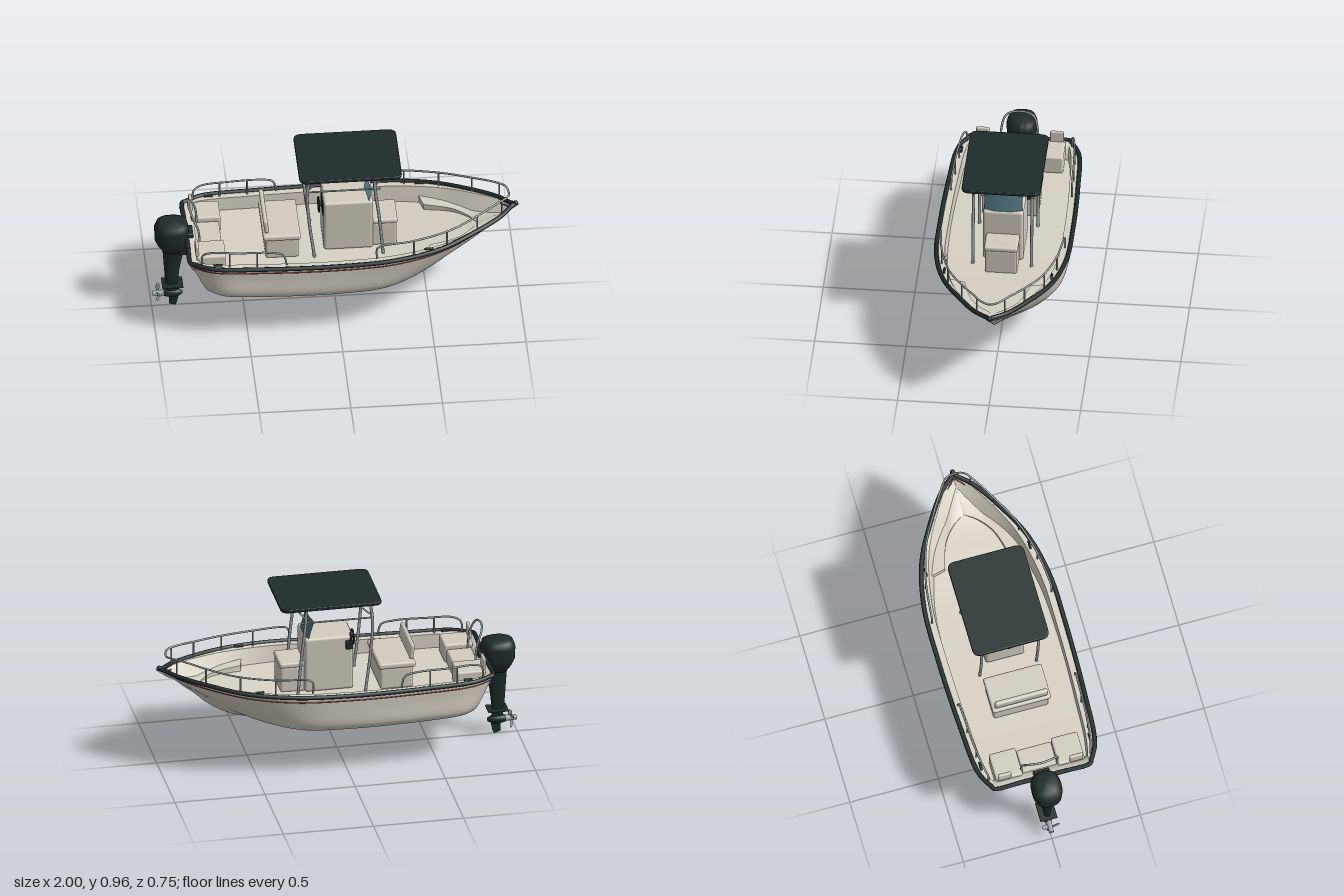
import * as THREE from 'three';
import { RoundedBoxGeometry } from 'three/addons/geometries/RoundedBoxGeometry.js';

const V = (x, y, z) => new THREE.Vector3(x, y, z);
const material = (name, color, side = THREE.FrontSide) => {
  const m = new THREE.MeshStandardMaterial({ color, side });
  m.name = name;
  return m;
};

export function createModel() {
  const boat = new THREE.Group();
  boat.name = 'boat';
  const cream = material('cream gelcoat', 0xd8d2c5, THREE.DoubleSide);
  const seatMat = material('cream vinyl', 0xd3cdc0);
  const dark = material('dark green black', 0x1f2b2c);
  const grey = material('canopy lining', 0x6a7272);
  const metal = material('brushed metal', 0x9ca6a8);
  const red = material('red stripe', 0x8a1c22);
  const glass = material('tinted screen', 0x4f727c, THREE.DoubleSide);

  const add = (name, geo, mat, x = 0, y = 0, z = 0, parent = boat) => {
    const m = new THREE.Mesh(geo, mat);
    m.name = name;
    m.position.set(x, y, z);
    parent.add(m);
    return m;
  };
  // Rounded box given by its limits
  const block = (name, mat, x0, x1, y0, y1, z0, z1, r = 0.012) =>
    add(name, new RoundedBoxGeometry(x1 - x0, y1 - y0, z1 - z0, 3, r), mat, (x0 + x1) / 2, (y0 + y1) / 2, (z0 + z1) / 2);
  const tube = (name, pts, r, mat = metal, closed = false) =>
    add(name, new THREE.TubeGeometry(new THREE.CatmullRomCurve3(pts, closed, 'centripetal'), Math.max(6, pts.length * 5), r, 8, closed), mat);
  const rod = (name, a, b, r, mat = metal) => tube(name, [a, b], r, mat);
  const mirror = p => V(p.x, p.y, -p.z);
  // Surface through rows of points
  const grid = (rows, flip = false) => {
    const n = rows[0].length, index = [];
    for (let i = 0; i < rows.length - 1; i++) for (let j = 0; j < n - 1; j++) {
      const a = i * n + j, b = a + 1, c = a + n, d = c + 1;
      index.push(...(flip ? [a, b, c, b, d, c] : [a, c, b, b, c, d]));
    }
    const g = new THREE.BufferGeometry().setFromPoints(rows.flat());
    g.setIndex(index);
    g.computeVertexNormals();
    return g;
  };
  const bothSides = (name, rows, mat) => {
    add(name + 'Left', grid(rows), mat);
    add(name + 'Right', grid(rows.map(r => r.map(mirror)), true), mat);
  };

  // Lengthwise hull lines, stern to stem
  const line = pts => new THREE.CatmullRomCurve3(pts.map(p => V(...p)), false, 'centripetal');
  const sheer = line([[-.81, .485, .27], [-.7, .483, .325], [-.4, .48, .35], [0, .482, .36], [.3, .495, .352], [.55, .512, .295], [.75, .535, .19], [.9, .553, .085], [.975, .565, 0]]);
  const middle = line([[-.775, .4, .262], [-.68, .4, .32], [-.4, .395, .345], [0, .395, .355], [.3, .4, .335], [.53, .42, .262], [.71, .44, .15], [.85, .48, .055], [.925, .515, 0]]);
  const bilge = line([[-.735, .31, .255], [-.65, .31, .32], [-.4, .305, .343], [0, .3, .347], [.27, .31, .32], [.47, .335, .24], [.645, .375, .13], [.77, .42, .045], [.845, .445, 0]]);
  const chine = line([[-.715, .27, .24], [-.63, .275, .305], [-.4, .27, .325], [0, .265, .325], [.25, .27, .3], [.45, .3, .22], [.62, .345, .115], [.74, .385, .035], [.8, .41, 0]]);
  const keel = line([[-.7, .22, 0], [-.6, .22, 0], [-.4, .22, 0], [0, .22, 0], [.25, .22, 0], [.42, .223, 0], [.58, .258, 0], [.71, .33, 0], [.8, .41, 0]]);
  const N = 64;
  const ts = (from = 0, n = N) => Array.from({ length: n + 1 }, (_, i) => from + (1 - from) * i / n);
  const section = t => new THREE.CatmullRomCurve3([sheer, middle, bilge, chine].map(c => c.getPoint(t)), false, 'centripetal');
  const plan = (c, t, d, y) => {
    const p = c.getPoint(t), g = c.getTangent(t), l = Math.hypot(g.x, g.z);
    return V(p.x - g.z / l * d, y === undefined ? p.y : Math.max(y, p.y + .005), Math.max(0, p.z - g.x / l * d));
  };
  const at = (x, d = 0) => {
    let lo = 0, hi = 1;
    for (let i = 0; i < 30; i++) { const m = (lo + hi) / 2; if (sheer.getPoint(m).x < x) lo = m; else hi = m; }
    return plan(sheer, lo, d);
  };

  // Hull shell
  bothSides('topside', ts().map(t => section(t).getPoints(12)), cream);
  bothSides('bottom', ts().map(t => [0, .25, .5, .75, 1].map(k => chine.getPoint(t).lerp(keel.getPoint(t), k))), cream);
  const end = [...section(0).getPoints(12), keel.getPoint(0)];
  add('transom', grid([end, end.map(mirror)], true), cream);

  // Gunwale, inner walls and floor
  bothSides('gunwale', ts().map(t => [plan(sheer, t, .045), sheer.getPoint(t)]), cream);
  bothSides('innerWall', ts().map(t => [plan(middle, t, .045, .4), plan(sheer, t, .045)]), cream);
  const floorEdge = ts().map(t => plan(middle, t, .045, .4));
  add('floor', grid(floorEdge.map(p => [mirror(p), p])), cream);
  add('transomCap', grid([V(-.81, .485, 0), V(-.76, .485, 0), V(-.74, .4, 0)].map(p => [V(p.x, p.y, -.27), V(p.x, p.y, .27)])), cream);

  // Bow bench wrapping round the front of the cockpit
  const benchInner = new THREE.CatmullRomCurve3([V(.5, .455, .18), V(.65, .455, .13), V(.73, .455, .065), V(.775, .455, 0)]);
  const benchRows = ts(.59, 28).map((t, i) => {
    const a = plan(middle, t, .02, .455), b = benchInner.getPoint(i / 28);
    return [V(b.x, .4, b.z), b, b.clone(), a];
  });
  bothSides('bowBench', [benchRows[0].map(p => V(p.x, .4, p.z)), benchRows[0], ...benchRows], cream);

  // Rub rail all round, bow light and red stripe
  const rim = ts(0, 48).map(t => plan(sheer, t, -.003)).slice(0, -1);
  tube('rubRail', [...rim, V(.98, .566, 0), ...rim.map(mirror).reverse(), V(-.812, .485, -.1), V(-.812, .485, .1)], .0125, dark, true);
  add('bowFitting', new THREE.SphereGeometry(.014, 16, 12), dark, .986, .572, 0);
  const stripe = ts(0, 40).map(t => {
    const p = section(t).getPoint(.12);
    return V(p.x, p.y, p.z + .0005);
  });
  tube('stripeLeft', stripe, .0035, red);
  tube('stripeRight', stripe.map(mirror), .0035, red);

  // Bow rail with stanchions
  const up = (x, y, d = .022) => { const p = at(x, d); p.y = y; return p; };
  const railSide = [up(.2, .505), up(.2, .57), up(.22, .585), up(.4, .592), up(.6, .606), up(.75, .628), up(.87, .65), up(.92, .652)];
  tube('bowRail', [...railSide, V(.95, .642, 0), ...railSide.map(mirror).reverse()], .0055);
  for (const s of [1, -1]) {
    const side = p => V(p.x, p.y, p.z * s);
    for (const [x, y] of [[.4, .592], [.58, .604], [.75, .628], [.89, .651]])
      rod('stanchion', side(at(x, .022)), side(up(x, y)), .0045);
    // Low stern rails
    tube('sternRail', [[-.74, .49], [-.735, .55], [-.7, .572], [-.55, .574], [-.38, .572], [-.31, .555], [-.29, .49]].map(([x, y]) => side(up(x, y, .025))), .0055);
    for (const x of [-.6, -.45]) rod('sternStanchion', side(at(x, .025)), side(up(x, .573, .025)), .0045);
    // Cleats
    for (const x of [-.66, .48]) {
      const p = side(at(x, .025));
      block('cleat', dark, p.x - .025, p.x + .025, p.y + .004, p.y + .016, p.z - .006, p.z + .006, .005);
    }
    // Corner seats with small backs
    block('sternSeat', seatMat, -.775, -.615, .4, .508, s > 0 ? .1 : -.25, s > 0 ? .25 : -.1);
    block('sternSeatBack', seatMat, -.78, -.762, .5, .572, s > 0 ? .165 : -.24, s > 0 ? .24 : -.165, .008);
  }
  block('sternMiddleSeat', seatMat, -.775, -.625, .4, .485, -.098, .098);
  tube('towArch', [V(-.745, .48, -.1), V(-.755, .58, -.1), V(-.785, .655, -.075), V(-.8, .672, 0), V(-.785, .655, .075), V(-.755, .58, .1), V(-.745, .48, .1)], .006);

  // Helm seat
  block('helmSeatBase', seatMat, -.39, -.21, .4, .525, -.155, .155);
  block('helmSeatCushion', seatMat, -.405, -.2, .522, .556, -.165, .165);
  block('helmSeatBack', seatMat, -.4, -.375, .565, .65, -.15, .15).rotation.z = .12;
  for (const z of [-.11, .11]) rod('backSupport', V(-.378, .5, z), V(-.385, .6, z), .006);

  // Console, front seat and curved screen
  block('console', seatMat, -.07, .2, .4, .72, -.11, .11, .016);
  block('consoleFrontSeat', seatMat, .19, .33, .4, .55, -.088, .088);
  block('consoleFrontCushion', seatMat, .195, .335, .545, .576, -.092, .092);
  const screen = [0, .5, 1].map(v => Array.from({ length: 13 }, (_, i) => {
    const u = i / 6 - 1, b = 1 - u * u;
    return V(.178 + .018 * b - .03 * v, .718 + v * (.104 + .008 * b), u * .104);
  }));
  add('windscreen', grid(screen), glass);
  block('dashPanel', dark, -.075, -.069, .62, .7, -.03, .09, .002);
  const wheel = new THREE.Group();
  wheel.name = 'steeringWheel';
  wheel.position.set(-.09, .65, .02);
  wheel.rotation.y = Math.PI / 2;
  boat.add(wheel);
  add('wheelRim', new THREE.TorusGeometry(.04, .005, 8, 28), dark, 0, 0, 0, wheel);
  for (let i = 0; i < 3; i++)
    add('wheelSpoke', new THREE.BoxGeometry(.076, .006, .004), metal, 0, 0, 0, wheel).rotation.z = i * Math.PI / 3;
  rod('wheelShaft', V(-.09, .65, .02), V(-.06, .65, .02), .009, dark);
  block('throttleBox', dark, -.065, -.025, .645, .695, -.126, -.105, .005);
  rod('throttleLever', V(-.045, .67, -.124), V(-.058, .735, -.124), .006, dark);
  block('throttleGrip', dark, -.068, -.045, .725, .748, -.134, -.112, .006);

  // Canopy
  const w = .28, h = .215, r = .045;
  const roof = new THREE.Shape();
  roof.moveTo(-w + r, -h).lineTo(w - r, -h).quadraticCurveTo(w, -h, w, -h + r).lineTo(w, h - r).quadraticCurveTo(w, h, w - r, h)
    .lineTo(-w + r, h).quadraticCurveTo(-w, h, -w, h - r).lineTo(-w, -h + r).quadraticCurveTo(-w, -h, -w + r, -h);
  const roofGeo = (depth, bevel) => new THREE.ExtrudeGeometry(roof, { depth, bevelEnabled: bevel > 0, bevelSize: bevel, bevelThickness: bevel, bevelOffset: -bevel, bevelSegments: 3, curveSegments: 8 }).rotateX(-Math.PI / 2);
  add('canopy', roofGeo(.01, .005), dark, .07, .945, 0);
  add('canopyLining', roofGeo(.003, 0), grey, .07, .938, 0).scale.set(.97, 1, .97);
  for (const z of [-.14, -.07, 0, .07, .14]) rod('canopyRib', V(-.18, .931, z), V(.31, .931, z), .005);
  for (const x of [-.155, .2]) rod('canopyCrossbar', V(x, .934, -.18), V(x, .934, .18), .006);
  for (const z of [-.16, .16]) {
    tube('rearPost', [V(-.152, .938, z), V(-.165, .82, z), V(-.155, .65, z), V(-.125, .4, z)], .0085);
    tube('frontPost', [V(.2, .938, z), V(.208, .82, z), V(.228, .65, z), V(.25, .4, z)], .0085);
    rod('sideBar', V(-.162, .845, z), V(.235, .845, z), .005);
    rod('rearBrace', V(-.16, .86, z), V(-.075, .936, z), .005);
    rod('frontBrace', V(.207, .87, z), V(.26, .936, z), .005);
  }

  // Outboard motor: loft of rounded cross-sections [y, centre x, half length, half width]
  const loft = (name, secs) => {
    const rows = secs.map(([y, cx, a, b]) => Array.from({ length: 25 }, (_, i) => {
      const q = i / 24 * Math.PI * 2, c = Math.cos(q), s = Math.sin(q);
      return V(cx + a * Math.sign(c) * Math.abs(c) ** .8, y, b * Math.sign(s) * Math.abs(s) ** .8);
    }));
    add(name, grid(rows), dark);
  };
  loft('motorCowl', [[.385, -.89, 0, 0], [.385, -.885, .055, .05], [.42, -.888, .078, .068], [.46, -.892, .092, .08], [.53, -.892, .094, .084], [.56, -.89, .085, .074], [.573, -.888, .06, .052], [.577, -.888, 0, 0]]);
  loft('motorLeg', [[.08, -.885, .03, .012], [.15, -.892, .034, .018], [.25, -.89, .042, .026], [.4, -.882, .06, .042]]);
  block('cavitationPlate', dark, -.945, -.83, .145, .152, -.048, .048, .003);
  const gear = add('gearCase', new THREE.SphereGeometry(.026, 20, 14), dark, -.89, .085, 0);
  gear.scale.x = 2.3;
  const skeg = new THREE.Shape([[-.905, .08], [-.85, .08], [-.862, .02], [-.87, 0], [-.905, .012]].map(p => new THREE.Vector2(...p)));
  add('skeg', new THREE.ExtrudeGeometry(skeg, { depth: .008, bevelEnabled: false }), dark, 0, 0, -.004);
  block('motorBracket', dark, -.86, -.768, .36, .43, -.04, .04);
  block('bracketClamp', dark, -.825, -.775, .41, .51, -.045, .045, .008);

  // Propeller
  const prop = new THREE.Group();
  prop.name = 'propeller';
  prop.position.set(-.965, .085, 0);
  boat.add(prop);
  add('propHub', new THREE.CylinderGeometry(.017, .013, .06, 16).rotateZ(-Math.PI / 2), metal, 0, 0, 0, prop);
  for (let i = 0; i < 3; i++) {
    const arm = new THREE.Group();
    arm.rotation.x = i * Math.PI * 2 / 3 + Math.PI + .15;
    prop.add(arm);
    const blade = add('propBlade', new THREE.SphereGeometry(1, 14, 10), metal, 0, .035, 0, arm);
    blade.scale.set(.003, .023, .015);
    blade.rotation.y = .7;
  }
  return boat;
}
